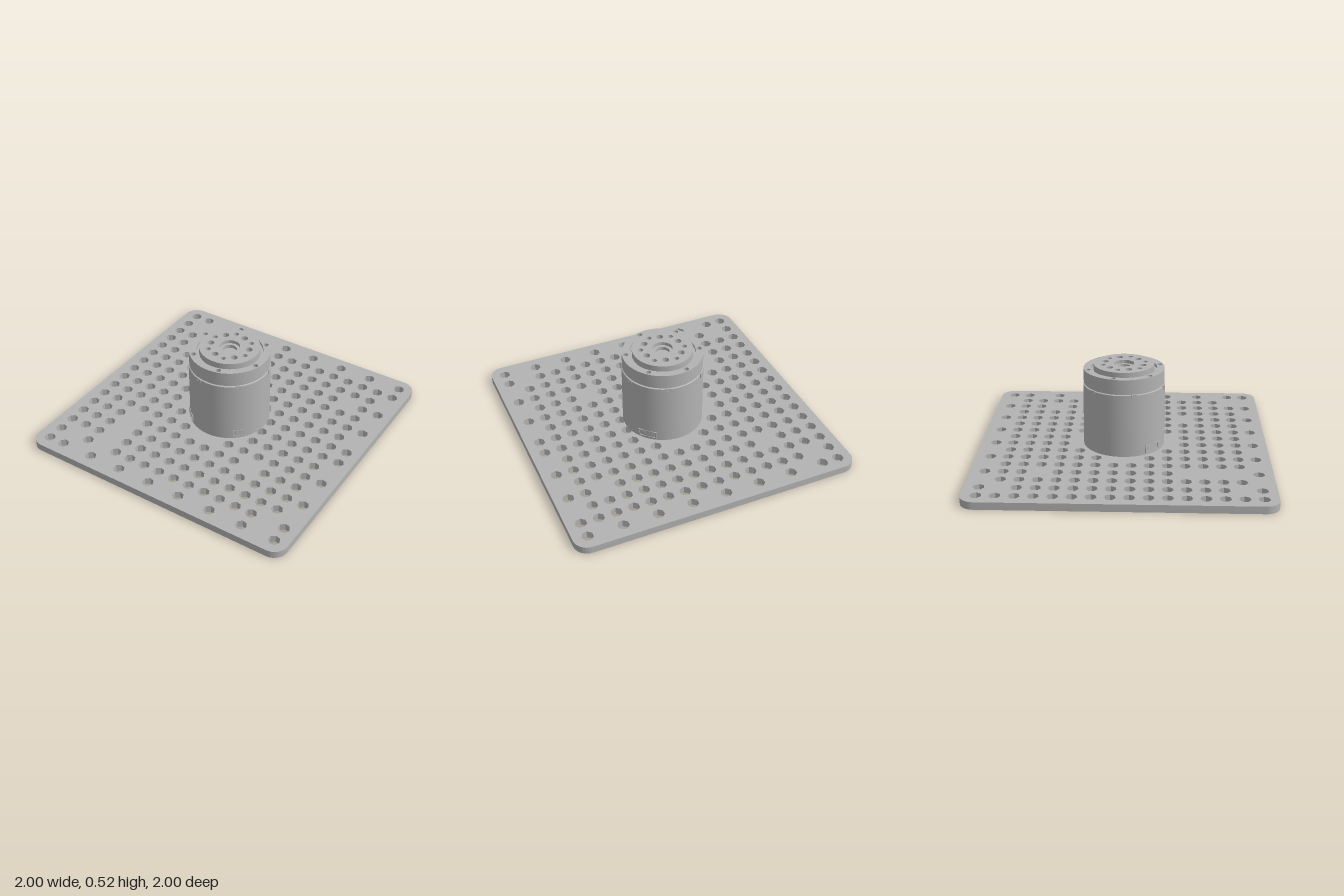
import * as THREE from 'three';
import { toCreasedNormals } from 'three/addons/utils/BufferGeometryUtils.js';

const grey = new THREE.MeshStandardMaterial({ color: 0xb3b3b3 });
grey.name = 'machined grey';

const DEG = Math.PI / 180;

// Regular polygon outline in the ground plane, z pointing to the viewer
function ring(x, z, r, n, PathClass = THREE.Path) {
  const pts = [];
  for (let k = 0; k < n; k++) {
    const t = (k / n) * Math.PI * 2;
    pts.push(new THREE.Vector2(x + r * Math.cos(t), -z + r * Math.sin(t)));
  }
  return new PathClass(pts);
}

// Upright slab from y0 to y1
function slab(name, shape, y0, y1) {
  const geo = new THREE.ExtrudeGeometry(shape, { depth: y1 - y0, bevelEnabled: false, curveSegments: 10 });
  geo.rotateX(-Math.PI / 2).translate(0, y0, 0);
  const mesh = new THREE.Mesh(toCreasedNormals(geo, 0.5), grey);
  mesh.name = name;
  return mesh;
}

// Calls place(x, z) at count points around a circle
function around(count, radius, startDeg, place) {
  for (let k = 0; k < count; k++) {
    const t = startDeg * DEG + (k / count) * Math.PI * 2;
    place(radius * Math.cos(t), radius * Math.sin(t), t);
  }
}

function disc(name, r, y0, y1, x = 0, z = 0, n = 24) {
  const mesh = new THREE.Mesh(new THREE.CylinderGeometry(r, r, y1 - y0, n), grey);
  mesh.position.set(x, (y0 + y1) / 2, z);
  mesh.name = name;
  return mesh;
}

// Breadboard plate: 16 x 16 hole grid with some positions left solid
function hasHole(i, j) {
  if (i === 0) return true;
  if (j === 0 || j === 15) return i === 1 || i % 2 === 1;
  if (i === 15) return [1, 3, 5, 7, 8, 10, 12, 14].includes(j);
  if ((i === 1 || i === 14) && (j === 14 || (j === 1 && i === 1))) return false;
  if (i === 3 && (j === 3 || j >= 11)) return false;
  if (i === 13 && j === 3) return false;
  if (i === 11 && j === 11) return false;
  const d = Math.hypot(i - 7.5, j - 7.5);
  return d > 2.8 || (i === 10 && d > 2.5);
}

function makePlate() {
  const c = 0.75, r = 0.081;
  const shape = new THREE.Shape();
  shape.absarc(c, c, r, 0, Math.PI / 2);
  shape.absarc(-c, c, r, Math.PI / 2, Math.PI);
  shape.absarc(-c, -c, r, Math.PI, Math.PI * 1.5);
  shape.absarc(c, -c, r, Math.PI * 1.5, Math.PI * 2);
  for (let i = 0; i < 16; i++) {
    for (let j = 0; j < 16; j++) {
      if (hasHole(i, j)) shape.holes.push(ring(-0.75 + 0.1 * i, -0.75 + 0.1 * j, 0.033, 7));
    }
  }
  // Central bore and mounting screw holes
  shape.holes.push(ring(0, 0, 0.115, 48));
  around(4, 0.17, 45, (x, z) => shape.holes.push(ring(x, z, 0.018, 10)));
  const plate = slab('basePlate', shape, 0, 0.043);
  plate.rotation.y = -15 * DEG;
  return plate;
}

// Rectangular socket: thin frame with a small block inside, facing outwards
function makeSocket(name, width, height, y, angle, radius) {
  const socket = new THREE.Group();
  socket.name = name;
  const w = width / 2, h = height / 2, t = 0.007;
  const rect = (C, a, b) => new C([[-a, -b], [a, -b], [a, b], [-a, b]].map(p => new THREE.Vector2(...p)));
  const frame = rect(THREE.Shape, w, h);
  frame.holes.push(rect(THREE.Path, w - t, h - t));
  const rim = new THREE.Mesh(new THREE.ExtrudeGeometry(frame, { depth: 0.009, bevelEnabled: false }), grey);
  rim.name = name + 'Rim';
  const core = new THREE.Mesh(new THREE.BoxGeometry(width * 0.5, height * 0.35, 0.007), grey);
  core.name = name + 'Core';
  core.position.z = 0.0035;
  socket.add(rim, core);
  socket.rotation.y = angle;
  socket.position.set(radius * Math.sin(angle), y, radius * Math.cos(angle));
  return socket;
}

function makeMotor() {
  const motor = new THREE.Group();
  motor.name = 'motor';

  // Housing with a recessed underside and a groove below the top ring
  const profile = [[0, 0.08], [0.115, 0.08], [0.115, 0.043], [0.235, 0.043], [0.235, 0.41],
    [0.226, 0.413], [0.226, 0.421], [0, 0.421]].map(p => new THREE.Vector2(...p));
  const housing = new THREE.Mesh(toCreasedNormals(new THREE.LatheGeometry(profile, 64), 0.5), grey);
  housing.name = 'housing';
  motor.add(housing);

  // Top ring with six screws
  const ringShape = ring(0, 0, 0.232, 64, THREE.Shape);
  ringShape.holes.push(ring(0, 0, 0.19, 64));
  around(6, 0.211, 30, (x, z) => {
    ringShape.holes.push(ring(x, z, 0.015, 16));
    motor.add(disc('ringScrew', 0.01, 0.42, 0.485, x, z, 12));
  });
  motor.add(slab('topRing', ringShape, 0.419, 0.502));
  motor.add(disc('ringFloor', 0.19, 0.42, 0.485, 0, 0, 64));

  // Output flange with its bore and bolt pattern
  const flange = ring(0, 0, 0.174, 64, THREE.Shape);
  flange.holes.push(ring(0, 0, 0.058, 40));
  around(6, 0.113, 0, (x, z) => {
    flange.holes.push(ring(x, z, 0.02, 20));
    motor.add(disc('flangeBolt', 0.011, 0.48, 0.505, x, z, 12));
  });
  around(6, 0.125, 30, (x, z) => flange.holes.push(ring(x, z, 0.015, 16)));
  motor.add(slab('outputFlange', flange, 0.48, 0.525));
  const bore = ring(0, 0, 0.058, 40, THREE.Shape);
  bore.holes.push(ring(0, 0, 0.04, 40));
  motor.add(slab('boreStep', bore, 0.484, 0.505));

  // Clips under the top ring
  around(6, 0, 90, (x, z, t) => motor.add(makeSocket('clip', 0.028, 0.022, 0.404, t, 0.229)));

  // Cable sockets near the base
  [[30, 0.065], [-60, 0.1], [120, 0.11]].forEach(([deg, width]) => {
    motor.add(makeSocket('cableSocket', width, 0.046, 0.076, deg * DEG, 0.228));
  });
  return motor;
}

export function createModel() {
  const model = new THREE.Group();
  model.name = 'motorOnPlate';
  model.add(makePlate(), makeMotor());
  return model;
}
